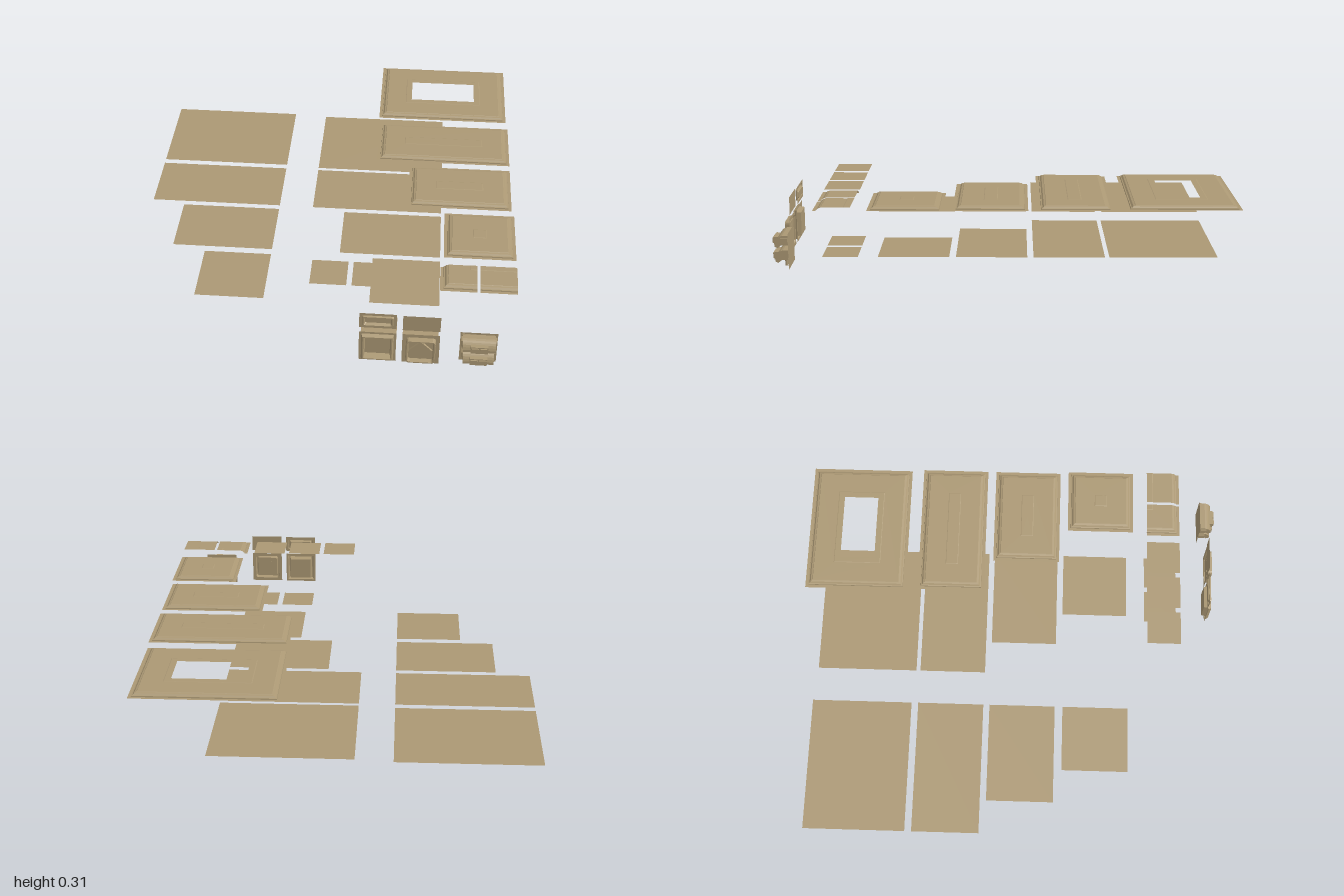
import * as THREE from 'three';

const material = new THREE.MeshStandardMaterial({
  color: 0xab9874, side: THREE.DoubleSide, flatShading: true,
});

// Nested rectangular rings, facing up. Each step is [inset, height, cornerRadius].
// sides marks which edges carry the moulding: +z, +x, -z, -x.
function steppedPanel(w, d, steps, { sides = [1, 1, 1, 1], round = 0, open = false } = {}) {
  const pos = [];
  const tri = (...pts) => pts.forEach((p) => pos.push(...p));
  const rings = steps.map(([inset, y, r = 0]) => {
    const x0 = -w / 2 + inset * sides[3], x1 = w / 2 - inset * sides[1];
    const z0 = -d / 2 + inset * sides[2], z1 = d / 2 - inset * sides[0];
    const corners = [[x0 + r, z1 - r], [x1 - r, z1 - r], [x1 - r, z0 + r], [x0 + r, z0 + r]];
    return corners.flatMap(([x, z], c) =>
      Array.from({ length: round + 1 }, (_, j) => {
        const a = Math.PI + (c + (round ? j / round : 0)) * Math.PI / 2;
        return [x + r * Math.cos(a), y, z - r * Math.sin(a)];
      }));
  });
  const n = rings[0].length;
  for (let k = 0; k + 1 < rings.length; k++) {
    for (let i = 0; i < n; i++) {
      if (!round && !sides[i]) continue;
      const j = (i + 1) % n, a = rings[k], b = rings[k + 1];
      tri(a[i], a[j], b[j]);
      tri(a[i], b[j], b[i]);
    }
  }
  if (!open) {
    const last = rings.at(-1);
    const mid = [(last[0][0] + last[n >> 1][0]) / 2, last[0][1], (last[0][2] + last[n >> 1][2]) / 2];
    for (let i = 0; i < n; i++) tri(last[i], last[(i + 1) % n], mid);
  }
  const geo = new THREE.BufferGeometry();
  geo.setAttribute('position', new THREE.Float32BufferAttribute(pos, 3));
  geo.computeVertexNormals();
  return geo;
}

export function createModel() {
  const model = new THREE.Group();
  const add = (name, geo, x, y, z, parent = model) => {
    const mesh = new THREE.Mesh(geo, material);
    mesh.name = name;
    mesh.position.set(x, y, z);
    parent.add(mesh);
    return mesh;
  };
  const flat = (name, x, z, w, d, y = 0) =>
    add(name, new THREE.PlaneGeometry(w, d).rotateX(-Math.PI / 2), x, y, z);

  // Floor sheets in two columns, aligned on their right edges
  const sizes = [[0.64, 0.485], [0.64, 0.32], [0.48, 0.32], [0.32, 0.32]];
  const leftZ = [-0.725, -0.29, 0.06, 0.418];
  const midZ = [-0.71, -0.288, 0.06, 0.41];
  sizes.forEach(([w, d], i) => {
    flat('outerFloor', -0.247 - w / 2, leftZ[i], w, d);
    flat('innerFloor', 0.56 - w / 2, midZ[i], w, d);
  });
  for (const x of [0.293, 0.48]) flat('smallFloorTile', x, 0.74, 0.16, 0.16);

  // Ceilings: flat flange, stepped cornice, raised centre field
  const cornice = [
    [0, 0.297], [0.014, 0.297], [0.015, 0.302], [0.02, 0.303], [0.026, 0.309],
    [0.034, 0.311], [0.036, 0.3125], [0.13, 0.3125], [0.133, 0.3135],
  ];
  const ceilings = [[0.547, -0.76], [0.555, -0.3], [0.635, 0.06], [0.725, 0.42]];
  sizes.forEach(([w, d], i) => {
    const open = i === 0;
    const steps = open ? [...cornice, [0.16, 0.3135]] : cornice;
    add(open ? 'openCeiling' : 'ceiling', steppedPanel(w, d, steps, { open }),
      ceilings[i][0], 0, ceilings[i][1]);
  });

  // Single ceiling tiles: three plain, one corner, one edge
  for (const x of [0.068, 0.251, 0.434]) flat('plainCeilingTile', x, 0.727, 0.16, 0.16, 0.3);
  add('cornerCeilingTile', steppedPanel(0.16, 0.16, cornice, { sides: [1, 0, 0, 1] }), 0.631, 0, 0.727);
  add('edgeCeilingTile', steppedPanel(0.16, 0.16, cornice, { sides: [1, 0, 0, 0] }), 0.804, 0, 0.727);

  // Upright wall panels facing forward
  const wall = (name, w, h, steps, x, y, options) =>
    add(name, steppedPanel(w, h, steps, options).rotateX(Math.PI / 2), x, y, 0);
  wall('recessedWall', 0.16, 0.16, [
    [0, 0.958], [0.01, 0.958], [0.016, 0.975], [0.021, 0.975], [0.026, 0.942],
  ], 0.294, 0.095);
  wall('framedUpperWall', 0.16, 0.08, [
    [0, 0.952], [0.012, 0.952, 0.006], [0.014, 0.961, 0.006], [0.02, 0.961, 0.005], [0.025, 0.947, 0.004],
  ], 0.294, 0.235, { round: 2 });
  wall('diamondWall', 0.16, 0.16, [
    [0, 0.96], [0.016, 0.96, 0.012], [0.019, 0.984, 0.012], [0.024, 0.984, 0.01], [0.028, 0.964, 0.008],
  ], 0.48, 0.095, { round: 3 });
  const diamond = new THREE.CylinderGeometry(0.049, 0.052, 0.008, 4).rotateY(Math.PI / 2).rotateX(Math.PI / 2);
  add('diamondRelief', diamond, 0.48, 0.095, 0.967);
  add('plainUpperWall', new THREE.PlaneGeometry(0.16, 0.08), 0.48, 0.235, 0.957);

  // Equipment wall with two hooded units
  const equipment = new THREE.Group();
  equipment.name = 'equipmentWall';
  model.add(equipment);
  add('backPlate', new THREE.PlaneGeometry(0.16, 0.16), 0.727, 0.094, 0.927, equipment);

  const hood = new THREE.Shape();
  hood.moveTo(0, 0.055);
  hood.lineTo(0.025, 0.055);
  hood.quadraticCurveTo(0.05, 0.05, 0.058, 0.018);
  hood.lineTo(0.058, 0.006);
  hood.lineTo(0.045, 0);
  hood.lineTo(0.03, 0.012);
  hood.lineTo(0, 0.012);
  // Sideways extrusion of a (depth, height) profile
  const sideways = (shape, width) =>
    new THREE.ExtrudeGeometry(shape, { depth: width, bevelEnabled: false, curveSegments: 5 })
      .translate(0, 0, -width / 2).rotateY(-Math.PI / 2).scale(1, 1, 1);
  for (const [y, width] of [[0.11, 0.14], [0.043, 0.132]]) {
    add('hood', sideways(hood, width), 0.728, y, 0.928, equipment);
    add('hoodBox', new THREE.BoxGeometry(0.074, 0.034, 0.032), 0.728, y + 0.024, 0.978, equipment);
    for (const s of [-1, 1]) {
      add('boxLatch', new THREE.BoxGeometry(0.03, 0.024, 0.01), 0.728 + s * 0.018, y + 0.024, 0.995, equipment);
      add('sideBracket', new THREE.BoxGeometry(0.008, 0.03, 0.03), 0.728 + s * (width / 2 + 0.002), y + 0.03, 0.945, equipment);
    }
  }
  // Pipes under the lower unit and beside the plate
  for (const x of [0.705, 0.728, 0.752]) {
    add('outletPipe', new THREE.CylinderGeometry(0.006, 0.006, 0.03, 8), x, 0.035, 0.945, equipment);
  }
  add('sideRod', new THREE.CylinderGeometry(0.003, 0.003, 0.035, 6).rotateZ(Math.PI / 2), 0.672, 0.165, 0.93, equipment);

  return model;
}
